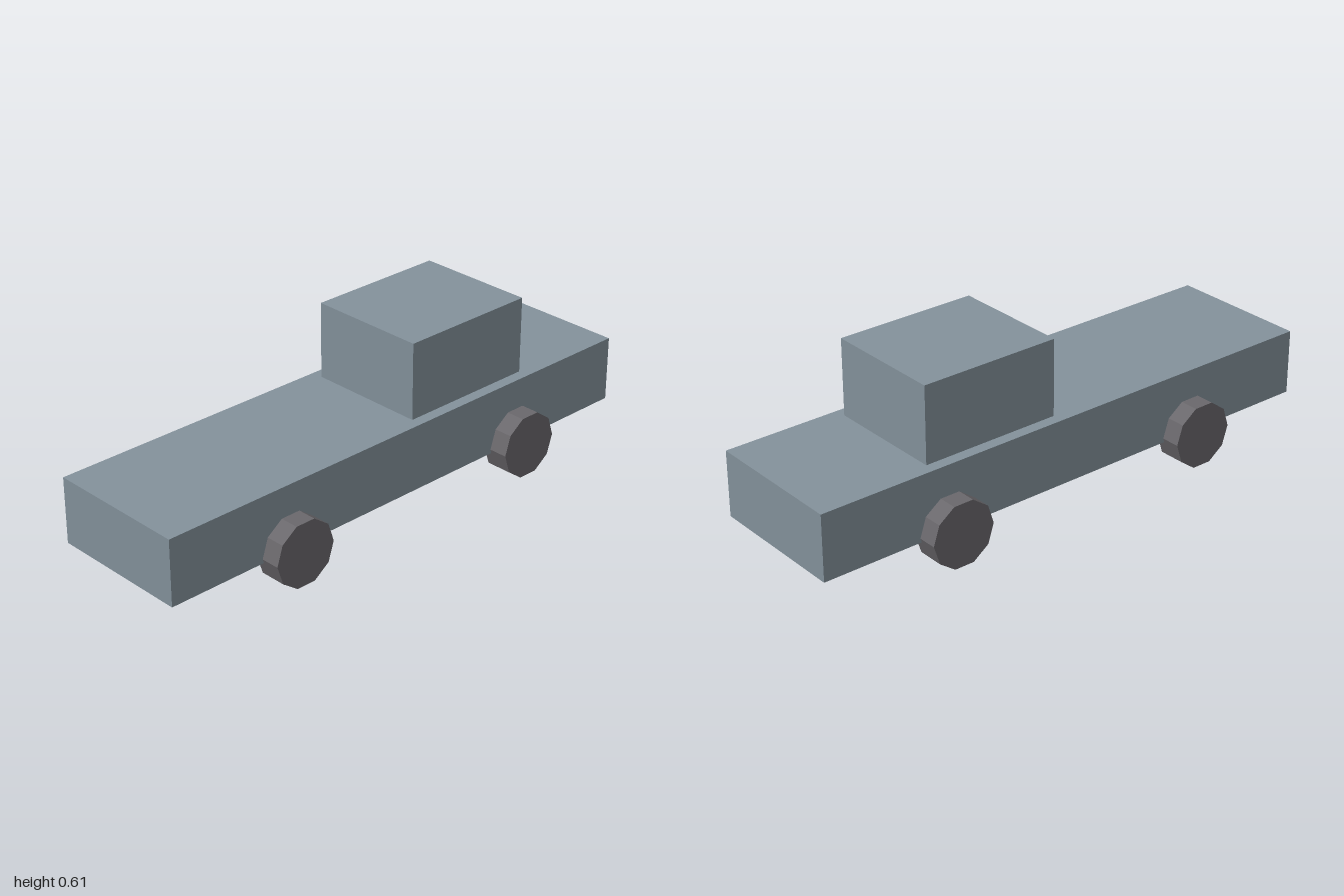
import * as THREE from 'three';

export function createModel() {
  const truck = new THREE.Group();
  truck.name = 'truck';

  const bodyPaint = new THREE.MeshStandardMaterial({ color: 0x84929c });
  bodyPaint.name = 'blue grey paint';
  const rubber = new THREE.MeshStandardMaterial({ color: 0x6a686c });
  rubber.name = 'grey rubber';
  rubber.flatShading = true;

  function addMesh(name, geometry, material, x, y, z) {
    const mesh = new THREE.Mesh(geometry, material);
    mesh.name = name;
    mesh.position.set(x, y, z);
    truck.add(mesh);
  }

  // Long flat body and the cab standing on it
  addMesh('body', new THREE.BoxGeometry(2, 0.237, 0.519), bodyPaint, 0, 0.2185, 0);
  addMesh('cab', new THREE.BoxGeometry(0.518, 0.276, 0.437), bodyPaint, 0.316, 0.475, 0);

  // Ten-sided wheels, corners pointing fore and aft
  const wheel = new THREE.CylinderGeometry(0.119, 0.119, 0.096, 10);
  wheel.rotateY(Math.PI / 2).rotateX(Math.PI / 2);
  for (const [end, x] of [['rear', -0.518], ['front', 0.516]]) {
    for (const [side, z] of [['Right', 0.28], ['Left', -0.28]]) {
      addMesh(end + side + 'Wheel', wheel, rubber, x, 0.115, z);
    }
  }

  return truck;
}
